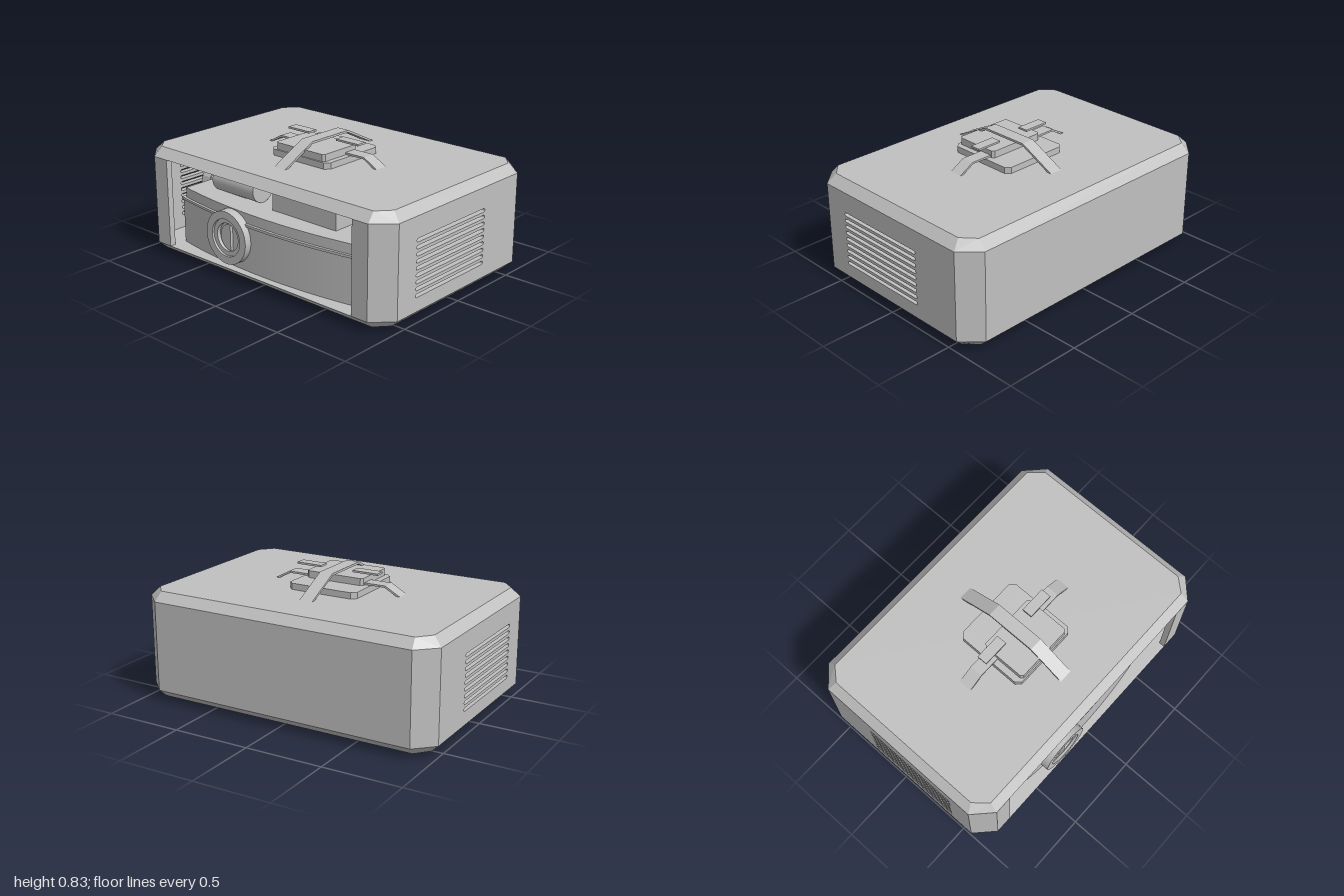
import * as THREE from 'three';
import { ConvexGeometry } from 'three/addons/geometries/ConvexGeometry.js';

const grey = new THREE.MeshStandardMaterial({ color: 0xc0c0c0 });
grey.name = 'light grey';

const shapeOf = (pts) => new THREE.Shape(pts.map(([x, y]) => new THREE.Vector2(x, y)));

// upright prism: outline in (x, z), from y0 to y1
function prism(pts, y0, y1) {
  const g = new THREE.ExtrudeGeometry(shapeOf(pts), { depth: y1 - y0, bevelEnabled: false });
  return g.rotateX(Math.PI / 2).translate(0, y1, 0);
}

// rectangle with cut corners, in (x, z)
function cutRect(x0, x1, z0, z1, cx, cz = cx) {
  return [[x0 + cx, z0], [x1 - cx, z0], [x1, z0 + cz], [x1, z1 - cz],
    [x1 - cx, z1], [x0 + cx, z1], [x0, z1 - cz], [x0, z0 + cz]];
}

// outline in (z, y), extruded from x0 to x1
function sidePlate(shape, x0, x1) {
  const g = new THREE.ExtrudeGeometry(shape, { depth: x1 - x0, bevelEnabled: false, curveSegments: 8 });
  return g.rotateY(-Math.PI / 2).translate(x1, 0, 0);
}

function box(x0, x1, y0, y1, z0, z1) {
  return new THREE.BoxGeometry(x1 - x0, y1 - y0, z1 - z0)
    .translate((x0 + x1) / 2, (y0 + y1) / 2, (z0 + z1) / 2);
}

export function createModel() {
  const group = new THREE.Group();
  const add = (name, geometry) => {
    const m = new THREE.Mesh(geometry, grey);
    m.name = name;
    group.add(m);
    return m;
  };

  // bevelled lid and base of the housing
  const outer = cutRect(-1, 1, -0.683, 0.683, 0.12, 0.115);
  const inner = cutRect(-0.945, 0.945, -0.628, 0.628, 0.075, 0.085);
  const slab = (yOuter, yInner) => new ConvexGeometry([
    ...outer.map(([x, z]) => new THREE.Vector3(x, yOuter, z)),
    ...inner.map(([x, z]) => new THREE.Vector3(x, yInner, z))]);
  add('housingLid', slab(0.648, 0.705));
  add('housingBase', slab(0.07, 0.018));

  // back wall
  add('backWall', box(-0.88, 0.88, 0.07, 0.648, -0.683, -0.643));

  // side walls with slots, corner posts and fans
  const wall = shapeOf([[-0.568, 0.07], [0.568, 0.07], [0.568, 0.648], [-0.568, 0.648]]);
  const r = 0.011;
  for (let i = 0; i < 9; i++) {
    const y = 0.169 + i * 0.0418;
    const slot = new THREE.Path();
    slot.absarc(0.398, y, r, -Math.PI / 2, Math.PI / 2, false);
    slot.absarc(-0.226, y, r, Math.PI / 2, Math.PI * 1.5, false);
    slot.closePath();
    wall.holes.push(slot);
  }
  for (const s of [1, -1]) {
    const side = s > 0 ? 'left' : 'right';
    add(side + 'SlottedWall', s > 0 ? sidePlate(wall, 0.96, 1) : sidePlate(wall, -1, -0.96));
    add(side + 'FrontPost', prism([[0.765, 0.683], [0.88, 0.683], [1, 0.568], [0.96, 0.55],
      [0.865, 0.643], [0.765, 0.643]].map(([x, z]) => [x * s, z]), 0.07, 0.648));
    add(side + 'BackCorner', prism([[0.88, -0.683], [1, -0.568], [0.96, -0.55],
      [0.865, -0.643]].map(([x, z]) => [x * s, z]), 0.07, 0.648));

    const rim = new THREE.Shape().absarc(0.086, 0.334, 0.147, 0, Math.PI * 2, false);
    rim.holes.push(new THREE.Path().absarc(0.086, 0.334, 0.136, 0, Math.PI * 2, true));
    add(side + 'FanRim', s > 0 ? sidePlate(rim, 0.88, 0.955) : sidePlate(rim, -0.955, -0.88));
    add(side + 'FanDisc', new THREE.CylinderGeometry(0.136, 0.136, 0.02, 40)
      .rotateZ(Math.PI / 2).translate(s * 0.9, 0.334, 0.086));
  }

  // projector body with a bowed front
  const bowed = (x0, x1, grow) => {
    const pts = [[x0, -0.4], [x1, -0.4]];
    for (let i = 0; i <= 24; i++) {
      const x = x1 + (x0 - x1) * i / 24;
      pts.push([x, 0.56 + grow + 0.075 * (1 - (x / 0.76) ** 2)]);
    }
    return pts;
  };
  add('projectorBody', prism(bowed(-0.76, 0.75, 0), 0.055, 0.36));
  add('projectorBand', prism(bowed(-0.77, 0.74, 0.008), 0.36, 0.376));
  add('projectorTop', prism(bowed(-0.74, 0.72, -0.01), 0.376, 0.44));
  add('controlBox', box(-0.04, 0.47, 0.44, 0.578, 0.01, 0.48));
  add('topRoller', new THREE.CylinderGeometry(0.086, 0.086, 0.36, 40)
    .rotateZ(Math.PI / 2).translate(-0.36, 0.526, 0.42));

  // lens: stepped rings and a half-round centre
  const lens = [[0.17, 0], [0.17, 0.1], [0.12, 0.1], [0.12, 0.085], [0.09, 0.085], [0.09, 0.06], [0, 0.06]];
  for (let i = 0; i < lens.length - 1; i++) {
    const step = [lens[i], lens[i + 1]].map(([a, b]) => new THREE.Vector2(a, b));
    add('lensRing', new THREE.LatheGeometry(step, 48).rotateX(Math.PI / 2).translate(-0.245, 0.265, 0.58));
  }
  const half = new THREE.Shape().absarc(-0.225, 0.265, 0.085, Math.PI / 2, Math.PI * 1.5, false);
  add('lensCentre', new THREE.ExtrudeGeometry(half, { depth: 0.02, bevelEnabled: false, curveSegments: 20 })
    .translate(0, 0, 0.64));

  // round foot under the base
  add('foot', new THREE.CylinderGeometry(0.21, 0.21, 0.022, 48).translate(0.24, 0.011, 0.23));

  // mounting plates on the lid
  add('lowerPlate', prism(cutRect(-0.245, 0.23, -0.188, 0.287, 0.03), 0.7, 0.745));
  add('upperPlate', prism(cutRect(-0.205, 0.193, -0.025, 0.278, 0.015), 0.745, 0.79));

  // long strap running front to back
  add('longStrap', sidePlate(shapeOf([[0.45, 0.705], [0.21, 0.825], [-0.12, 0.825], [-0.36, 0.705],
    [-0.33, 0.705], [-0.117, 0.811], [0.207, 0.811], [0.42, 0.705]]), -0.05, 0.038));

  // short side straps and their raised tabs
  for (const s of [1, -1]) {
    const strap = shapeOf([[0.445, 0.705], [0.345, 0.76], [0.18, 0.76], [0.18, 0.748], [0.34, 0.748], [0.42, 0.705]]
      .map(([x, y]) => [x * s - 0.005, y]));
    add('sideStrap', new THREE.ExtrudeGeometry(strap, { depth: 0.085, bevelEnabled: false }));
    const c = s * 0.2 - 0.005;
    add('strapTab', box(c - 0.087, c + 0.087, 0.814, 0.826, 0.005, 0.073));
  }
  return group;
}
